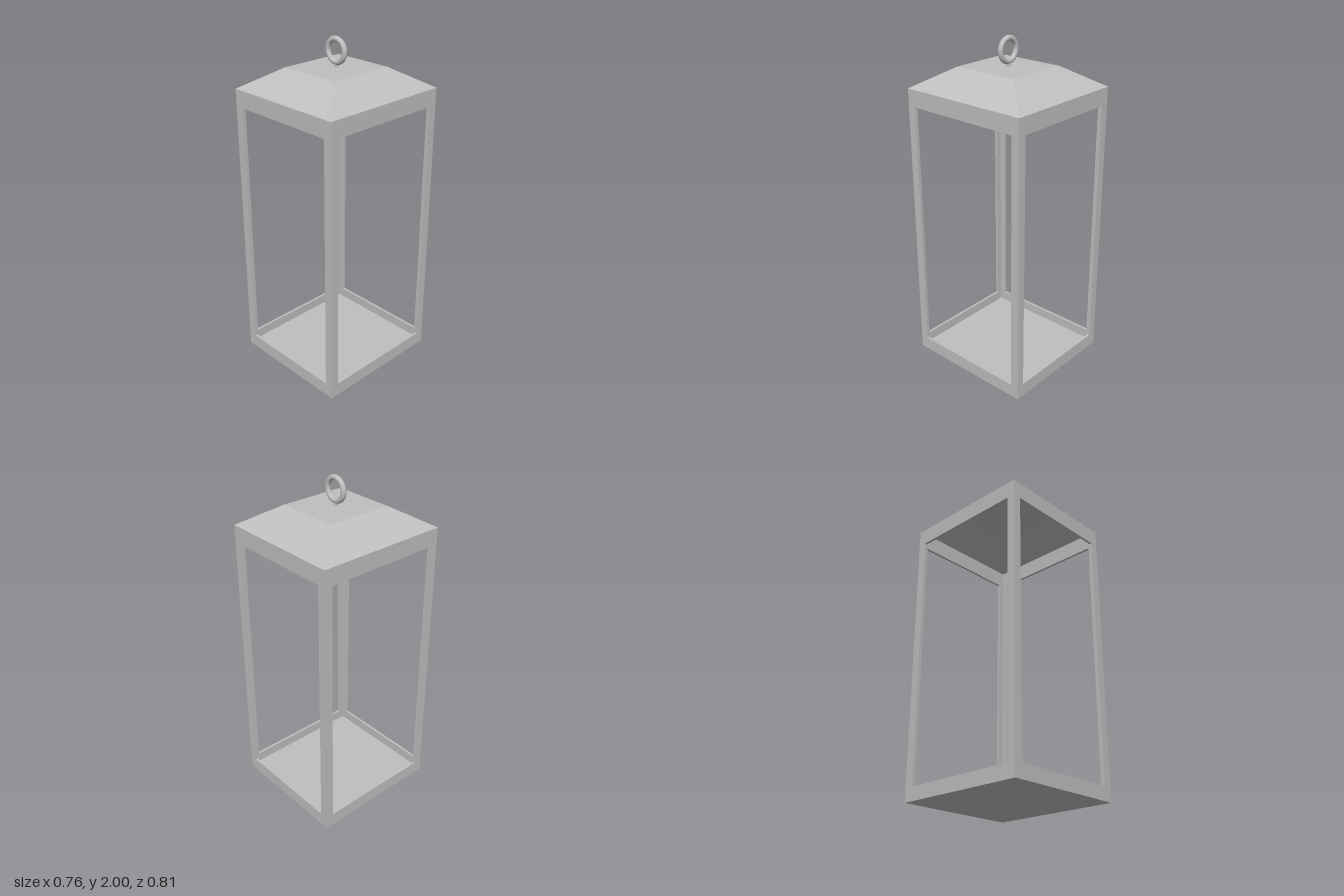
import * as THREE from 'three';

const HX = 0.38, HZ = 0.405;   // half width and half depth
const WALL = 1.71;             // height of the framed walls
const T = 0.015;               // sheet thickness
const POST = 0.05;             // visible width of a corner post

// Framed opening: a thin plate with a rectangular hole, outer face towards +z
function framePanel(width, postWidth) {
  const w = width / 2, i = w - postWidth;
  const shape = new THREE.Shape([
    new THREE.Vector2(-w, 0), new THREE.Vector2(w, 0),
    new THREE.Vector2(w, WALL), new THREE.Vector2(-w, WALL),
  ]);
  shape.holes.push(new THREE.Path([
    new THREE.Vector2(-i, 0.08), new THREE.Vector2(-i, 1.61),
    new THREE.Vector2(i, 1.61), new THREE.Vector2(i, 0.08),
  ]));
  return new THREE.ExtrudeGeometry(shape, { depth: T, bevelEnabled: false });
}

// Flat-shaded skin through a list of rectangles [halfX, y, halfZ]
function loftRectangles(rings) {
  const corners = [[1, 1], [1, -1], [-1, -1], [-1, 1]];
  const point = ([hx, y, hz], k) => [corners[k % 4][0] * hx, y, corners[k % 4][1] * hz];
  const positions = [];
  for (let r = 0; r < rings.length - 1; r++) {
    const low = rings[r], high = rings[r + 1];
    for (let k = 0; k < 4; k++) {
      const a = point(low, k), b = point(low, k + 1);
      const c = point(high, k + 1), d = point(high, k);
      if (low[0] > 0) positions.push(...a, ...b, ...c);
      if (high[0] > 0) positions.push(...a, ...c, ...d);
      else positions.splice(positions.length, 0);
    }
  }
  const geometry = new THREE.BufferGeometry();
  geometry.setAttribute('position', new THREE.Float32BufferAttribute(positions, 3));
  geometry.computeVertexNormals();
  return geometry;
}

export function createModel() {
  const model = new THREE.Group();
  model.name = 'lantern';
  const metal = new THREE.MeshStandardMaterial({ color: 0xbfbfbf });
  metal.name = 'grey metal';

  function add(name, geometry, x = 0, y = 0, z = 0, turn = 0) {
    const mesh = new THREE.Mesh(geometry, metal);
    mesh.name = name;
    mesh.position.set(x, y, z);
    mesh.rotation.y = turn;
    model.add(mesh);
  }

  // Four open walls; the side walls fit between the front and back
  const wide = framePanel(2 * HX, POST);
  const side = framePanel(2 * (HZ - T), POST - T);
  add('frontFrame', wide, 0, 0, HZ - T);
  add('backFrame', wide, 0, 0, -HZ + T, Math.PI);
  add('leftFrame', side, HX - T, 0, 0, Math.PI / 2);
  add('rightFrame', side, -HX + T, 0, 0, -Math.PI / 2);

  // Floor plate inside the bottom rails
  add('floor', new THREE.BoxGeometry(2 * (HX - T), 0.02, 2 * (HZ - T)), 0, 0.01, 0);

  // Hollow hipped roof: inside skin, rim, then outside skin
  add('roof', loftRectangles([
    [0, 1.815, 0],
    [0.185, 1.815, 0.198],
    [HX - T, WALL, HZ - T],
    [HX, WALL, HZ],
    [0.19, 1.83, 0.203],
    [0, 1.83, 0],
  ]));

  // Hanging ring on a short stem
  add('ringStem', new THREE.CylinderGeometry(0.012, 0.012, 0.035, 20), 0, 1.8375, 0);
  add('hangingRing', new THREE.TorusGeometry(0.0635, 0.0155, 16, 48), 0, 1.921, 0);

  return model;
}
